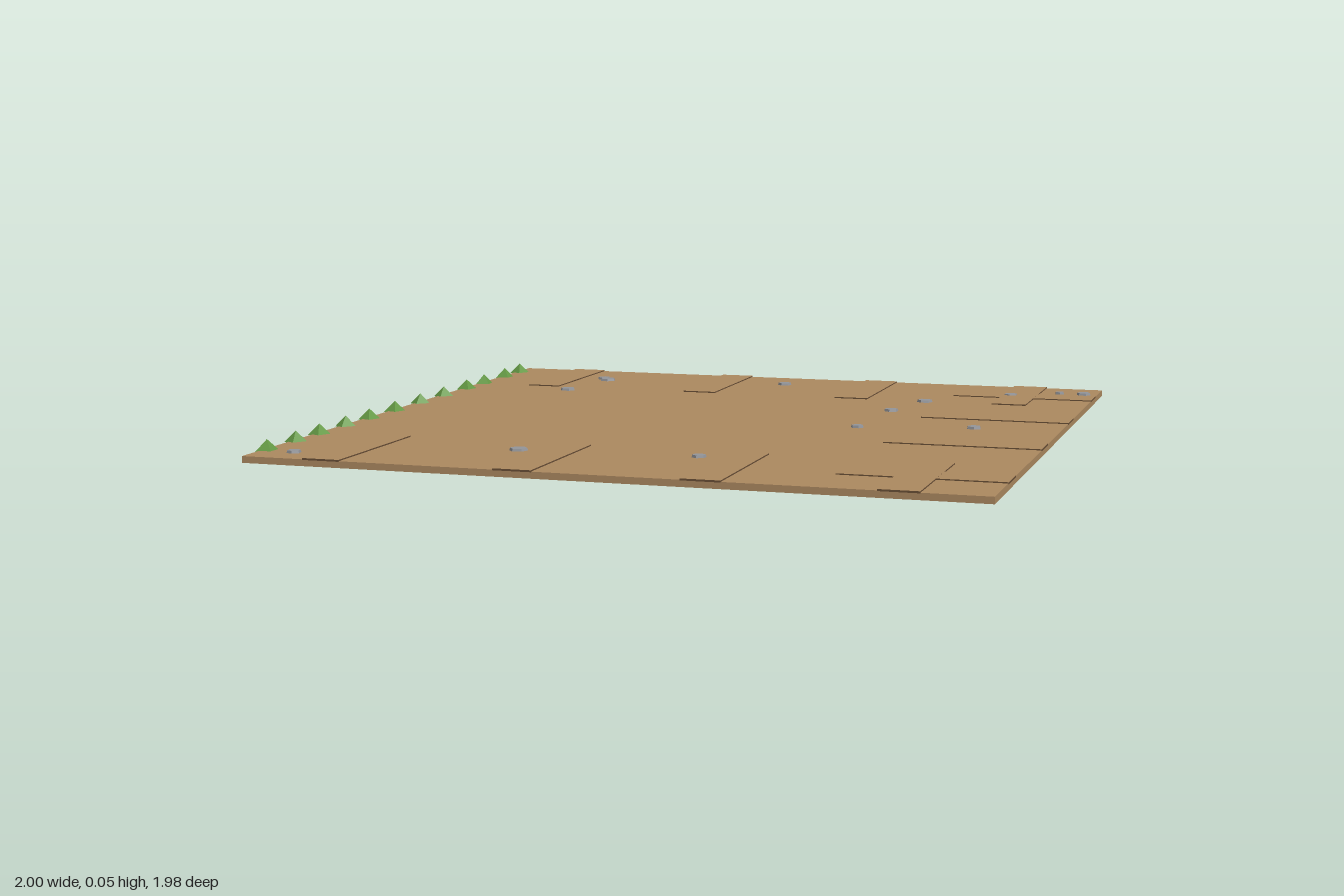
import * as THREE from 'three';

const mat = (name, color, flat = false) => {
  const m = new THREE.MeshStandardMaterial({ color, flatShading: flat });
  m.name = name;
  return m;
};

export function createModel() {
  const dirt = mat('dirt', 0xac8960);
  const darkDirt = mat('darkDirt', 0x684e35);
  const stone = mat('stone', 0x93959a, true);
  const grass = mat('grass', 0x659a45, true);

  const root = new THREE.Group();
  root.name = 'dirtTile';
  const add = (name, geometry, material, x, y, z, parent = root) => {
    const mesh = new THREE.Mesh(geometry, material);
    mesh.name = name;
    mesh.position.set(x, y, z);
    parent.add(mesh);
    return mesh;
  };
  const group = (name) => {
    const g = new THREE.Group();
    g.name = name;
    root.add(g);
    return g;
  };

  // Ground slab
  const top = 0.018, cx = 0.01, half = 0.987;
  add('ground', new THREE.BoxGeometry(2 * half, top, 2 * half), dirt, cx, top / 2, 0);

  // Low raised strips with dark sides, running in from three edges
  const strips = group('edgeStrips');
  const sides = [darkDirt, darkDirt, dirt, dirt, darkDirt, darkDirt];
  const len = 0.43, wide = 0.104, rise = 0.005;
  const strip = (w, d, x, z) =>
    add('edgeStrip', new THREE.BoxGeometry(w, rise, d), sides, x, top + 0.001, z, strips);
  const inset = half - len / 2 + 0.001;
  for (const x of [-0.75, -0.22, 0.275, 0.768]) {
    for (const s of [-1, 1]) strip(wide, len, x, s * inset);
  }
  // Side strips sit a hair lower so crossing tops do not coincide
  for (const z of [-0.765, -0.27, 0.225, 0.75]) {
    strip(len, wide, cx + inset, z).position.y -= 0.0004;
  }

  // Flat-topped pebbles: x, z, radius
  const pebbles = group('pebbles');
  const pebbleSpots = [
    [-0.625, -0.785, 0.02], [-0.6, -0.755, 0.026], [-0.64, -0.49, 0.024],
    [-0.01, -0.82, 0.022], [0.74, -0.77, 0.022], [0.88, -0.86, 0.015],
    [0.955, -0.86, 0.022], [0.51, -0.555, 0.024], [0.455, -0.33, 0.022],
    [0.755, -0.055, 0.022], [0.435, 0.02, 0.019], [-0.325, 0.685, 0.026],
    [0.165, 0.65, 0.02], [-0.875, 0.895, 0.02],
  ];
  pebbleSpots.forEach(([x, z, r], i) => {
    const p = add('pebble', new THREE.CylinderGeometry(r * 0.9, r, 0.008, 6), stone, x, top + 0.003, z, pebbles);
    p.rotation.y = i * 1.3;
  });

  // Row of four-sided grass tufts: z, turn
  const tufts = group('grassTufts');
  const tuftSpots = [
    [-0.875, 0.3], [-0.742, 0.75], [-0.567, 0.95], [-0.428, 0.55], [-0.25, 0.05], [-0.077, 0],
    [0.102, 0.45], [0.272, 0.4], [0.422, 0.05], [0.582, 0.35], [0.718, 0.2], [0.877, 0.8],
  ];
  const tuftGeometry = new THREE.ConeGeometry(0.033, 0.032, 4);
  for (const [z, turn] of tuftSpots) {
    add('grassTuft', tuftGeometry, grass, -0.964, 0.031, z, tufts).rotation.y = turn;
  }
  return root;
}
